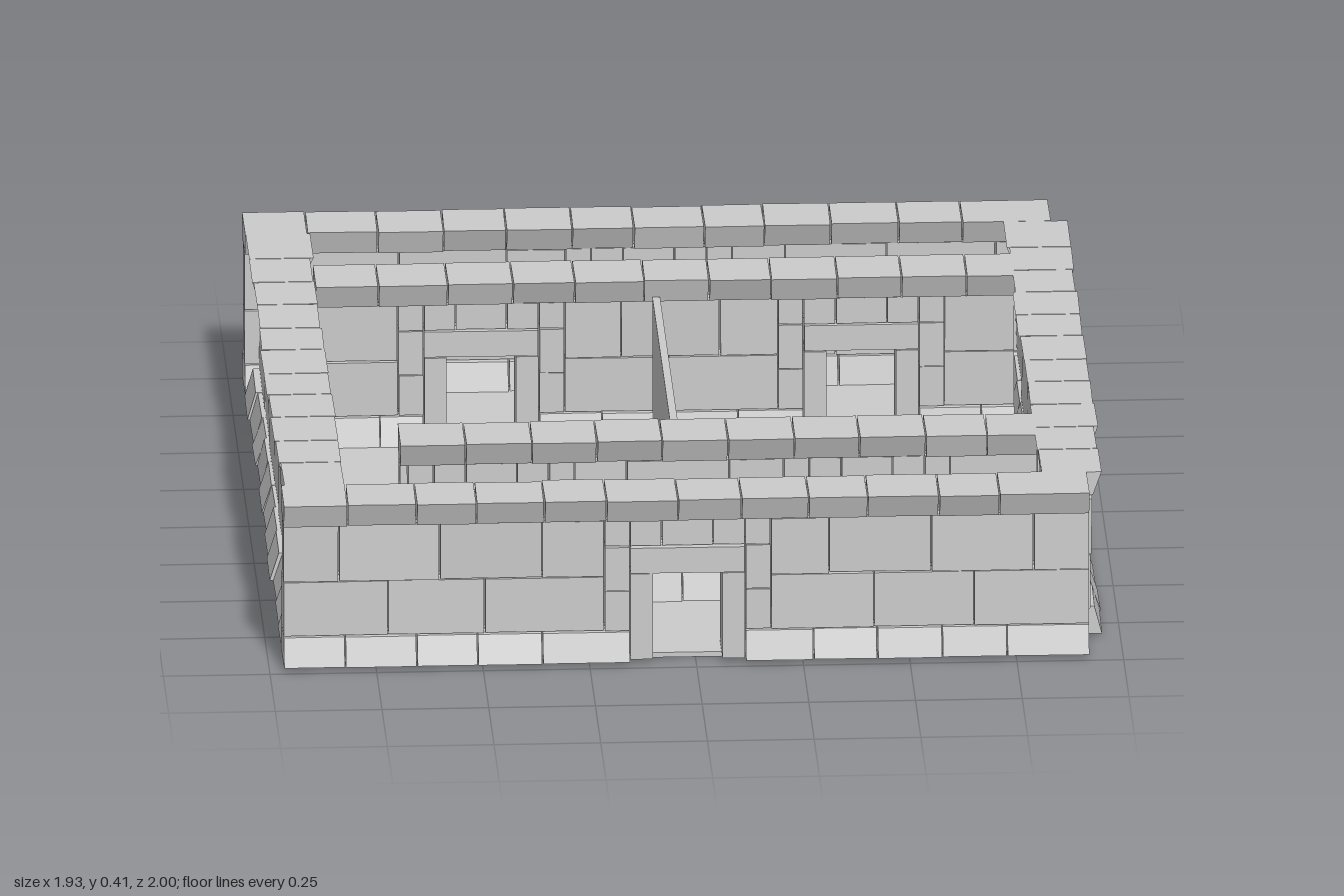
import * as THREE from 'three';

const material = new THREE.MeshStandardMaterial({ color: 0xcccccc, flatShading: true });

// Small seeded generator for the hand-laid unevenness of the stones
let seed = 7;
function vary(amount) {
  seed = (seed * 16807) % 2147483647;
  return (seed / 2147483647 * 2 - 1) * amount;
}

// One stone between x0..x1 and y0..y1, with separate half depths at foot and top
function stone(parent, name, x0, x1, y0, y1, footDepth, topDepth) {
  const geometry = new THREE.BoxGeometry(x1 - x0 - 0.003, y1 - y0 - 0.002, 2);
  const p = geometry.attributes.position;
  for (let i = 0; i < p.count; i++) {
    p.setZ(i, p.getZ(i) * (p.getY(i) < 0 ? footDepth : topDepth));
  }
  geometry.computeVertexNormals();
  const mesh = new THREE.Mesh(geometry, material);
  mesh.name = name;
  mesh.position.set((x0 + x1) / 2, (y0 + y1) / 2, vary(0.003));
  mesh.rotation.y = vary(0.012);
  parent.add(mesh);
}

// Courses from the ground up: flared foot, two running courses, flared coping
const courses = [
  { name: 'footStone', y0: 0.01, y1: 0.08, foot: 0.073, top: 0.052, length: 0.153, shift: 0, cut: 0.135 },
  { name: 'lowerWallStone', y0: 0.08, y1: 0.215, foot: 0.045, top: 0.045, length: 0.24, shift: 0, cut: 0.195 },
  { name: 'upperWallStone', y0: 0.215, y1: 0.355, foot: 0.045, top: 0.045, length: 0.24, shift: 0.11, cut: 0.195 },
  { name: 'copingStone', y0: 0.355, y1: 0.415, foot: 0.052, top: 0.073, length: 0.153, shift: 0, cut: 0 },
];

// Fill a stretch of a course with stones of about equal length
function layCourse(parent, course, start, end) {
  const joints = [start];
  let x = start + course.length - course.shift;
  while (x < end - course.length * 0.45) {
    joints.push(x + vary(0.008));
    x += course.length;
  }
  joints.push(end);
  for (let i = 0; i < joints.length - 1; i++) {
    stone(parent, course.name, joints[i], joints[i + 1], course.y0, course.y1,
      course.foot + vary(0.003), course.top + vary(0.003));
  }
}

// Jambs, lintel and filling stones around an opening centred on x
function doorway(parent, x) {
  const door = new THREE.Group();
  door.name = 'doorway';
  for (const side of [-1, 1]) {
    const upright = (name, a, b, y0, y1, depth) => {
      const u = x + side * a, v = x + side * b;
      stone(door, name, Math.min(u, v), Math.max(u, v), y0, y1, depth, depth);
    };
    upright('doorJamb', 0.08, 0.135, 0.01, 0.225, 0.055);
    upright('sideStone', 0.135, 0.195, 0.08, 0.18, 0.047);
    upright('sideStone', 0.135, 0.195, 0.18, 0.29, 0.047);
    upright('fillingStone', 0.06, 0.135, 0.29, 0.355, 0.045);
    upright('fillingStone', 0.135, 0.195, 0.29, 0.355, 0.045);
  }
  stone(door, 'lintel', x - 0.135, x + 0.135, 0.225, 0.29, 0.055, 0.055);
  stone(door, 'fillingStone', x - 0.06, x + 0.06, 0.29, 0.355, 0.045, 0.045);
  parent.add(door);
}

// A complete wall along local x, broken by doorways
function wall(name, start, end, doors, overlap = 0) {
  const group = new THREE.Group();
  group.name = name;
  for (const course of courses) {
    // running courses reach into the crossing walls
    const reach = course.length > 0.2 ? overlap : 0;
    let x = start - reach;
    for (const d of course.cut ? doors : []) {
      layCourse(group, course, x, d - course.cut);
      x = d + course.cut;
    }
    layCourse(group, course, x, end + reach);
  }
  doors.forEach((d) => doorway(group, d));
  return group;
}

function slab(name, x0, x1, y0, y1, z0, z1) {
  const mesh = new THREE.Mesh(new THREE.BoxGeometry(x1 - x0, y1 - y0, z1 - z0), material);
  mesh.name = name;
  mesh.position.set((x0 + x1) / 2, (y0 + y1) / 2, (z0 + z1) / 2);
  return mesh;
}

export function createModel() {
  seed = 7;
  const model = new THREE.Group();
  model.name = 'stoneBuilding';

  model.add(slab('floor', -0.94, 0.9, 0, 0.012, -0.92, 0.93));
  model.add(slab('roomDivider', -0.03, -0.012, 0.012, 0.37, -0.5, 0.46));

  // Walls running across
  const across = [
    ['frontWall', 0.918, -0.968, 0.922, [-0.02]],
    ['frontInnerWall', 0.517, -0.675, 0.82, [-0.46, 0.42]],
    ['backInnerWall', -0.56, -0.82, 0.82, [-0.43, 0.46]],
    ['backWall', -0.922, -0.968, 0.922, [-0.02]],
  ];
  for (const [name, z, start, end, doors] of across) {
    const w = wall(name, start, end, doors);
    w.position.z = z;
    model.add(w);
  }

  // Side walls, turned to run from front to back
  for (const [name, x] of [['leftWall', 0.885], ['rightWall', -0.892]]) {
    const w = wall(name, -0.85, 0.85, [], 0.02);
    w.rotation.y = Math.PI / 2;
    w.position.x = x;
    model.add(w);
  }
  return model;
}
